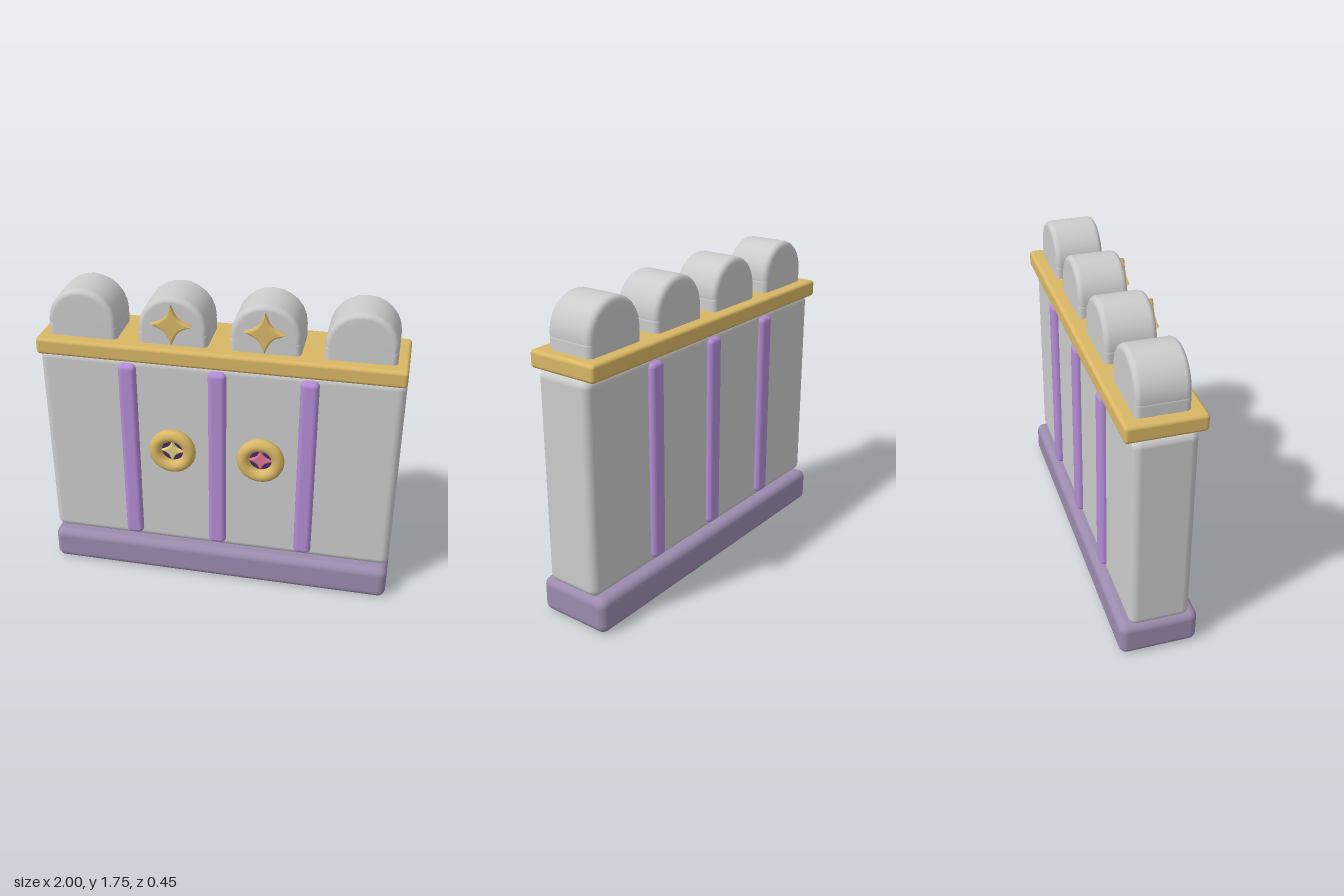
import * as THREE from 'three';
import { RoundedBoxGeometry } from 'three/addons/geometries/RoundedBoxGeometry.js';

const mat = (color) => new THREE.MeshStandardMaterial({ color });
const grey = mat(0xcccccc);
const gold = mat(0xd9b765);
const lilac = mat(0xb48cd6);
const mauve = mat(0x9c8bae);
const darkPurple = mat(0x4a2a68);
const pink = mat(0xdc7590);
const paleGold = mat(0xe6cf80);

const Z = -0.01; // the wall's mid plane

function add(parent, name, geometry, material, x, y, z) {
  const mesh = new THREE.Mesh(geometry, material);
  mesh.name = name;
  mesh.position.set(x, y, z);
  parent.add(mesh);
  return mesh;
}

const roundedBox = (w, h, d, r) => new RoundedBoxGeometry(w, h, d, 4, r);

// Four-pointed star with concave sides, facing +z from z = 0
function starGeometry(radius, waist, depth) {
  const bevel = depth * 0.3;
  const r = radius - bevel;
  const shape = new THREE.Shape();
  shape.moveTo(r, 0);
  for (let i = 0; i < 4; i++) {
    const mid = (i + 0.5) * Math.PI / 2;
    const end = (i + 1) * Math.PI / 2;
    shape.quadraticCurveTo(waist * Math.cos(mid), waist * Math.sin(mid), r * Math.cos(end), r * Math.sin(end));
  }
  const geometry = new THREE.ExtrudeGeometry(shape, {
    depth: depth - 2 * bevel, bevelEnabled: true, bevelThickness: bevel,
    bevelSize: bevel, bevelSegments: 2, curveSegments: 8,
  });
  return geometry.translate(0, 0, bevel);
}

// Drum with rounded rims, lying along z
function drumGeometry(radius, depth, bevel) {
  const h = depth / 2;
  const points = [new THREE.Vector2(0, -h)];
  for (const side of [-1, 1]) {
    for (let i = 0; i <= 4; i++) {
      const a = (side < 0 ? i - 4 : i) * Math.PI / 8;
      points.push(new THREE.Vector2(radius - bevel + bevel * Math.cos(a), side * (h - bevel) + bevel * Math.sin(a)));
    }
  }
  points.push(new THREE.Vector2(0, h));
  return new THREE.LatheGeometry(points, 24).rotateX(Math.PI / 2);
}

export function createModel() {
  const model = new THREE.Group();
  model.name = 'wallSection';

  // Plinth, wall and cornice
  add(model, 'plinth', roundedBox(2, 0.2, 0.435, 0.045), mauve, 0, 0.1, Z);
  add(model, 'wall', roundedBox(2, 1.19, 0.332, 0.045), grey, 0, 0.795, Z);
  add(model, 'cornice', roundedBox(2, 0.095, 0.417, 0.02), gold, 0, 1.4325, Z);

  // Upright strips showing on both faces
  for (const x of [-0.5, 0, 0.5]) {
    add(model, 'strip', roundedBox(0.1, 1.12, 0.398, 0.028), lilac, x, 0.8, Z);
  }

  // Arched merlons: block with a drum on top
  for (const x of [-0.75, -0.25, 0.25, 0.75]) {
    const merlon = new THREE.Group();
    merlon.name = 'merlon';
    merlon.position.set(x, 0, Z);
    model.add(merlon);
    add(merlon, 'merlonBlock', roundedBox(0.38, 0.16, 0.278, 0.03), grey, 0, 1.485, 0);
    add(merlon, 'merlonArch', drumGeometry(0.19, 0.278, 0.03), grey, 0, 1.56, 0);
  }

  // Star ornaments and ringed medallions
  for (const x of [-0.25, 0.25]) {
    add(model, 'merlonStar', starGeometry(0.108, 0.02, 0.034), gold, x, 1.603, 0.126);

    const medallion = new THREE.Group();
    medallion.name = 'medallion';
    medallion.position.set(x, 0.855, 0);
    model.add(medallion);
    add(medallion, 'medallionRing', new THREE.TorusGeometry(0.098, 0.036, 14, 36), gold, 0, 0, 0.192);
    const disc = new THREE.CylinderGeometry(0.09, 0.09, 0.04, 28).rotateX(Math.PI / 2);
    add(medallion, 'medallionDisc', disc, darkPurple, 0, 0, 0.16);
    add(medallion, 'medallionStar', starGeometry(0.06, 0.012, 0.024), x < 0 ? paleGold : pink, 0, 0, 0.176);
  }

  return model;
}
